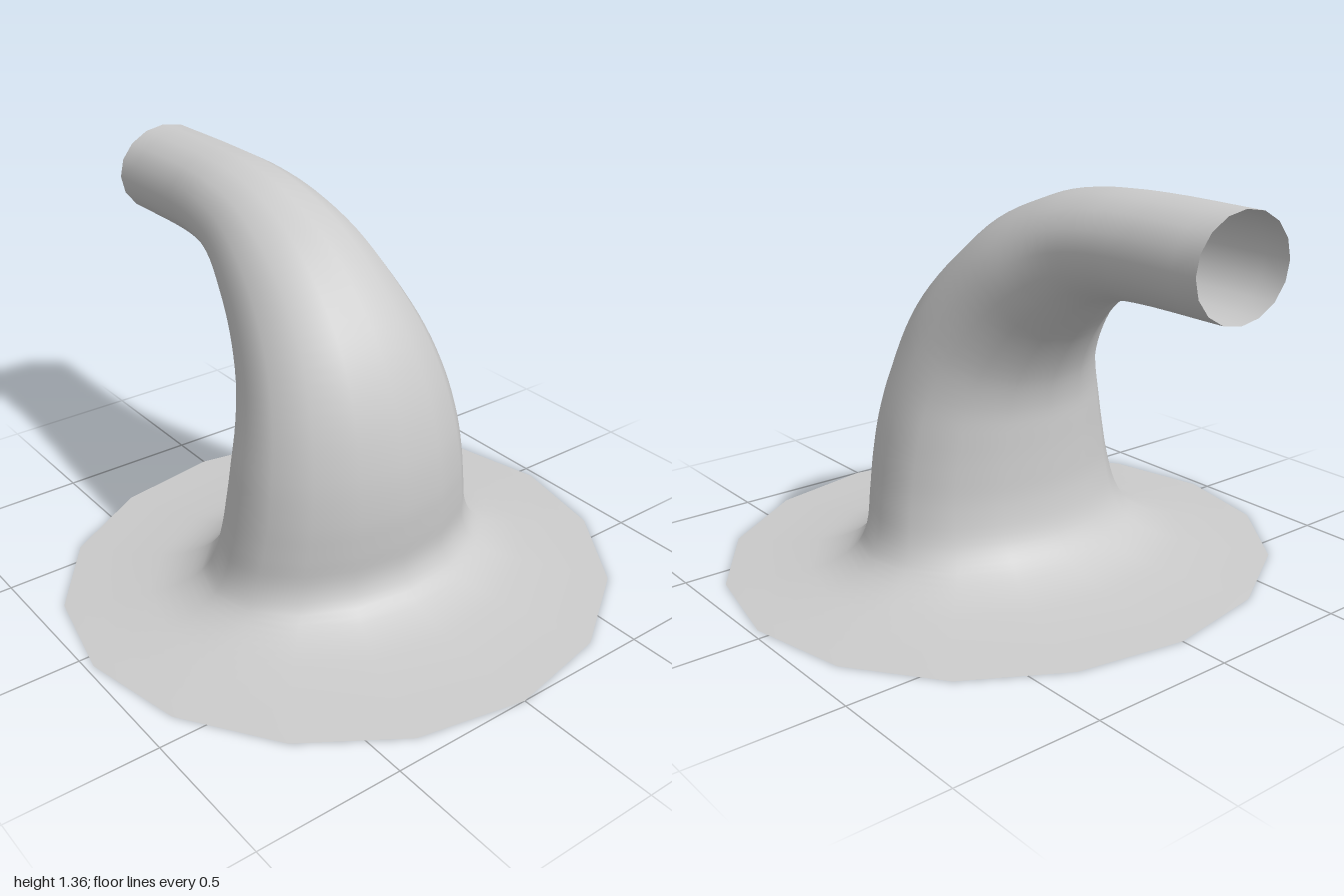
import * as THREE from 'three';

// Cross-sections from the rim up to the mouth: [half width, outer y, outer z, inner y, inner z]
const SECTIONS = [
  // flared skirt
  [0.975, 0, 1.0, 0, -0.83],
  [0.78, 0.018, 0.73, 0.018, -0.57],
  [0.63, 0.045, 0.56, 0.045, -0.4],
  [0.535, 0.1, 0.455, 0.1, -0.295],
  [0.495, 0.17, 0.42, 0.17, -0.24],
  // upright body
  [0.47, 0.28, 0.422, 0.28, -0.21],
  [0.45, 0.4, 0.425, 0.39, -0.2],
  [0.425, 0.56, 0.41, 0.5, -0.195],
  [0.39, 0.75, 0.36, 0.6, -0.195],
  // bend
  [0.35, 0.93, 0.27, 0.7, -0.22],
  [0.305, 1.09, 0.13, 0.82, -0.29],
  [0.265, 1.22, -0.04, 0.92, -0.38],
  [0.225, 1.31, -0.25, 0.99, -0.47],
  [0.205, 1.348, -0.45, 1.02, -0.56],
  // straight spout
  [0.193, 1.358, -0.64, 1.03, -0.66],
  [0.19, 1.355, -1, 1.03, -1],
];
const SIDES = 16;
const RINGS = 60;

// Lofts oval rings between an outer and an inner guide curve
function loftGeometry() {
  const outer = new THREE.CatmullRomCurve3(SECTIONS.map(([w, y, z]) => new THREE.Vector3(w, y, z)));
  const inner = new THREE.CatmullRomCurve3(SECTIONS.map(([w, , , y, z]) => new THREE.Vector3(w, y, z)));
  const positions = [];
  const indices = [];
  for (let i = 0; i <= RINGS; i++) {
    const t = i / RINGS;
    const o = outer.getPoint(t);
    const n = inner.getPoint(t);
    const shift = 0.035 * Math.max(0, 1 - 5 * t); // rim is slightly egg-shaped
    for (let j = 0; j < SIDES; j++) {
      const a = (j / SIDES) * Math.PI * 2;
      const k = (1 + Math.cos(a)) / 2;
      positions.push(
        o.x * Math.sin(a),
        Math.max(0, THREE.MathUtils.lerp(n.y, o.y, k)),
        THREE.MathUtils.lerp(n.z, o.z, k) - shift * Math.sin(a) ** 2
      );
      if (i < RINGS) {
        const p = i * SIDES + j;
        const q = i * SIDES + ((j + 1) % SIDES);
        indices.push(p, q, p + SIDES, q, q + SIDES, p + SIDES);
      }
    }
  }
  const geometry = new THREE.BufferGeometry();
  geometry.setAttribute('position', new THREE.Float32BufferAttribute(positions, 3));
  geometry.setIndex(indices);
  geometry.computeVertexNormals();
  return geometry;
}

export function createModel() {
  const group = new THREE.Group();
  group.name = 'flaredBentPipe';
  // open thin shell: skirt, body, bend and spout in one smooth surface
  const material = new THREE.MeshStandardMaterial({ color: 0xcccccc, side: THREE.DoubleSide });
  const shell = new THREE.Mesh(loftGeometry(), material);
  shell.name = 'pipeShell';
  group.add(shell);
  return group;
}
